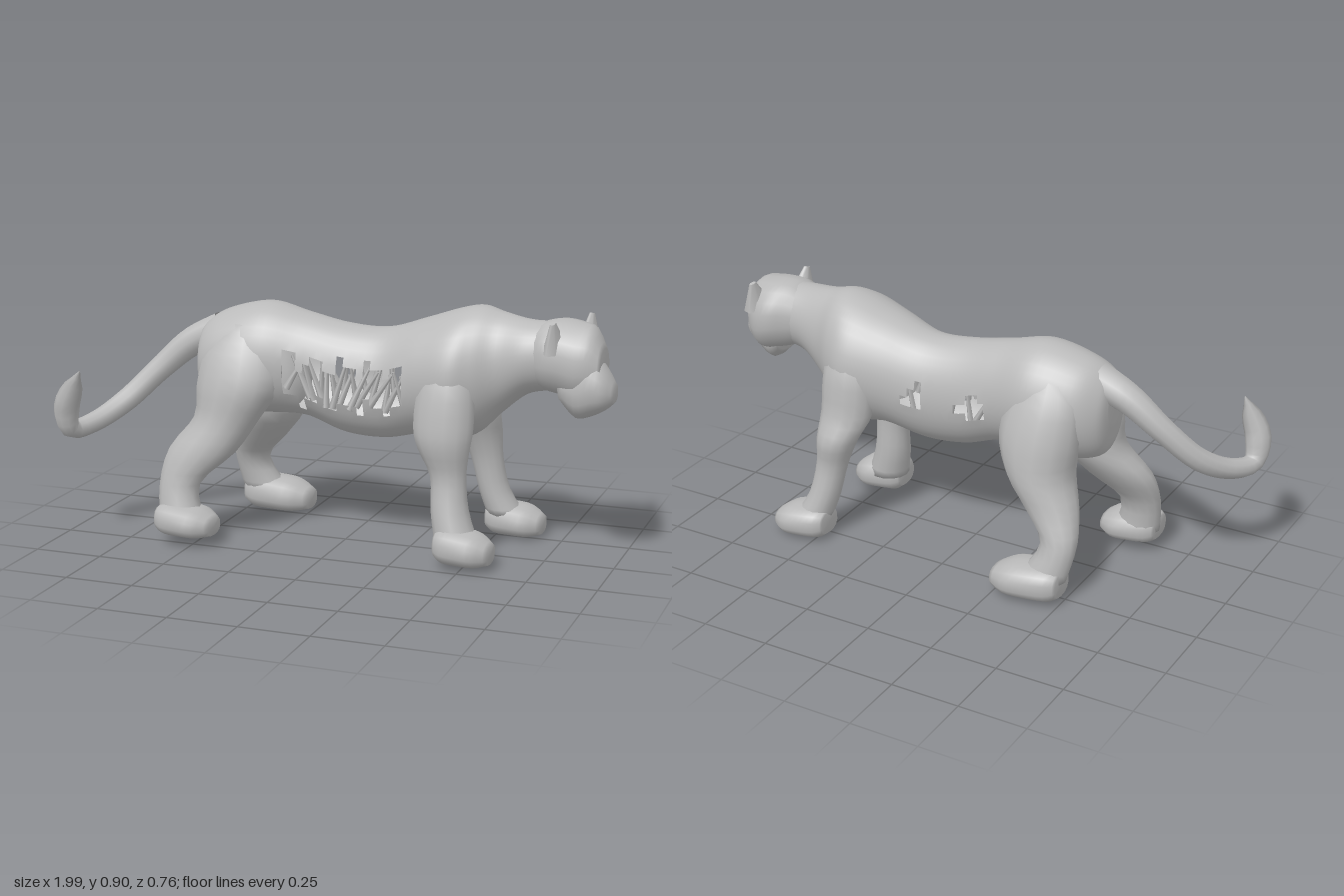
import * as THREE from 'three';

const coat = new THREE.MeshStandardMaterial({ color: 0xbababa, side: THREE.DoubleSide });
coat.name = 'grey coat';

// Smooth blend of station rows (Catmull-Rom over each column)
function blend(rows, t) {
  const n = rows.length - 1;
  const i = Math.min(Math.floor(t), n - 1);
  const f = t - i;
  const [a, b, c, d] = [i - 1, i, i + 1, i + 2].map(k => rows[Math.max(0, Math.min(n, k))]);
  return b.map((v, k) => v + 0.5 * f * (c[k] - a[k]
    + f * (2 * a[k] - 5 * v + 4 * c[k] - d[k] + f * (3 * (v - c[k]) + d[k] - a[k]))));
}

// Skin over oval sections. Rows are [x, y, z, radius1, radius2].
// axis 'x': sections stand in the y-z plane; axis 'y': sections lie in x-z, listed downwards.
function loft(name, rows, { axis = 'x', sides = 14, steps = 3, power = 1, hole = null } = {}) {
  const pos = [], index = [];
  const count = (rows.length - 1) * steps;
  const bend = v => Math.sign(v) * Math.abs(v) ** power;
  for (let i = 0; i <= count; i++) {
    const [x, y, z, r1, r2] = blend(rows, i / steps);
    for (let j = 0; j < sides; j++) {
      const a = (j / sides) * Math.PI * 2;
      const u = r1 * bend(Math.cos(a)), v = r2 * bend(Math.sin(a));
      if (axis === 'x') pos.push(x, y + u, z + v);
      else pos.push(x + u, y, z + v);
    }
  }
  for (let i = 0; i < count; i++) {
    for (let j = 0; j < sides; j++) {
      const k = (j + 1) % sides;
      const a = i * sides + j, b = a + sides, c = i * sides + k, d = c + sides;
      const mid = [0, 1, 2].map(m => (pos[a * 3 + m] + pos[d * 3 + m]) / 2);
      if (hole && hole(...mid)) continue;
      index.push(a, c, b, c, d, b);
    }
  }
  // End caps
  const first = pos.length / 3;
  pos.push(...rows[0].slice(0, 3), ...rows.at(-1).slice(0, 3));
  for (let j = 0; j < sides; j++) {
    const k = (j + 1) % sides, e = count * sides;
    index.push(first, k, j, first + 1, e + j, e + k);
  }
  const geo = new THREE.BufferGeometry();
  geo.setAttribute('position', new THREE.Float32BufferAttribute(pos, 3));
  geo.setIndex(index);
  geo.computeVertexNormals();
  return part(name, geo);
}

function part(name, geo) {
  const mesh = new THREE.Mesh(geo, coat);
  mesh.name = name;
  return mesh;
}

// Blocky paw from heel to blunt toe, with a raised instep
function paw(name, x0, x1, bottom, top, z, half) {
  const h = (top - bottom) / 2, y = bottom + h, l = x1 - x0;
  return loft(name, [
    [x0, y + h * 0.2, z, h * 0.8, half * 0.55],
    [x0 + l * 0.15, y + h * 0.15, z, h * 1.1, half * 0.8],
    [x0 + l * 0.45, y + h * 0.1, z, h * 1.1, half * 0.97],
    [x0 + l * 0.75, y, z, h, half * 0.97],
    [x1, y - h * 0.2, z, h * 0.6, half * 0.55],
  ], { power: 0.8 });
}

// Ragged openings in the flanks
function flankHole(x, y, z) {
  const rag = 0.025 * Math.sin(x * 61) + 0.015 * Math.sin(x * 113 + 1);
  if (z > 0) return x > -0.2 && x < 0.26 && y > 0.525 - 0.12 * Math.min(0, x) + rag && y < 0.68 - 0.1 * x + rag;
  return y > 0.57 && y < 0.65 + rag && ((x > -0.12 && x < 0) || (x > 0.13 && x < 0.2));
}

export function createModel() {
  const cat = new THREE.Group();
  cat.name = 'bigCat';

  // Trunk and neck
  cat.add(loft('body', [
    [-0.55, 0.67, 0, 0.07, 0.05], [-0.53, 0.64, 0, 0.15, 0.11], [-0.45, 0.65, -0.02, 0.19, 0.155],
    [-0.3, 0.666, -0.03, 0.206, 0.175], [-0.15, 0.65, -0.03, 0.19, 0.145], [0, 0.61, -0.03, 0.2, 0.14],
    [0.15, 0.602, -0.04, 0.202, 0.145], [0.3, 0.64, -0.04, 0.21, 0.18], [0.42, 0.655, -0.04, 0.235, 0.205],
    [0.5, 0.678, -0.04, 0.226, 0.175], [0.58, 0.708, -0.03, 0.178, 0.13], [0.68, 0.74, -0.01, 0.13, 0.115],
    [0.78, 0.75, -0.01, 0.12, 0.1],
  ], { sides: 36, steps: 6, hole: flankHole }));

  // Head, turned a little to its left, sloping straight into a short muzzle
  cat.add(loft('head', [
    [0.7, 0.75, -0.01, 0.1, 0.1], [0.745, 0.752, -0.01, 0.122, 0.122], [0.8, 0.748, -0.02, 0.132, 0.138],
    [0.86, 0.735, -0.015, 0.137, 0.135], [0.91, 0.735, 0, 0.122, 0.11], [0.947, 0.715, 0.018, 0.078, 0.075],
  ], { sides: 18, power: 0.9 }));
  cat.add(loft('muzzle', [
    [0.8, 0.665, -0.005, 0.07, 0.09], [0.86, 0.645, 0.015, 0.102, 0.092], [0.92, 0.663, 0.033, 0.103, 0.085],
    [0.963, 0.655, 0.04, 0.07, 0.07], [0.993, 0.642, 0.036, 0.03, 0.038],
  ], { sides: 16, power: 0.9 }));
  for (const [name, x, z, lean] of [['leftEar', 0.785, 0.09, 0.3], ['rightEar', 0.865, -0.12, -0.25]]) {
    const ear = part(name, new THREE.CylinderGeometry(0.014, 0.058, 0.1, 7));
    ear.position.set(x, 0.835, z);
    ear.rotation.set(lean, -0.3, 0);
    ear.scale.x = 0.6;
    cat.add(ear);
  }

  // Legs, listed from inside the shoulder or hip down to the ankle
  const legs = {
    leftForeleg: [[0.42, 0.78, 0.07, 0.05, 0.04], [0.41, 0.64, 0.1, 0.1, 0.07], [0.405, 0.5, 0.115, 0.11, 0.08],
      [0.41, 0.42, 0.125, 0.095, 0.07], [0.427, 0.32, 0.12, 0.066, 0.055], [0.437, 0.2, 0.13, 0.068, 0.066],
      [0.467, 0.09, 0.145, 0.078, 0.075]],
    rightForeleg: [[0.42, 0.8, -0.13, 0.05, 0.04], [0.42, 0.66, -0.175, 0.1, 0.075], [0.425, 0.5, -0.195, 0.1, 0.077],
      [0.445, 0.4, -0.235, 0.077, 0.076], [0.465, 0.3, -0.243, 0.06, 0.055], [0.49, 0.18, -0.258, 0.058, 0.06],
      [0.53, 0.09, -0.272, 0.07, 0.07]],
    leftHindLeg: [[-0.36, 0.8, 0.05, 0.06, 0.05], [-0.37, 0.7, 0.075, 0.14, 0.085], [-0.38, 0.58, 0.09, 0.16, 0.11],
      [-0.42, 0.46, 0.1, 0.125, 0.112], [-0.5, 0.34, 0.15, 0.13, 0.09], [-0.57, 0.22, 0.2, 0.077, 0.057],
      [-0.555, 0.09, 0.22, 0.085, 0.068]],
    rightHindLeg: [[-0.36, 0.8, -0.1, 0.06, 0.05], [-0.35, 0.7, -0.125, 0.13, 0.09], [-0.335, 0.57, -0.14, 0.15, 0.12],
      [-0.345, 0.44, -0.155, 0.125, 0.125], [-0.41, 0.33, -0.195, 0.1, 0.088], [-0.468, 0.22, -0.245, 0.066, 0.06],
      [-0.42, 0.09, -0.272, 0.09, 0.068]],
  };
  for (const [name, rows] of Object.entries(legs)) cat.add(loft(name, rows, { axis: 'y' }));
  cat.add(
    paw('leftForepaw', 0.4, 0.6, 0.018, 0.13, 0.165, 0.095),
    paw('rightForepaw', 0.46, 0.67, 0.008, 0.115, -0.285, 0.095),
    paw('leftHindPaw', -0.635, -0.42, 0.037, 0.14, 0.237, 0.1),
    paw('rightHindPaw', -0.5, -0.24, 0.014, 0.13, -0.28, 0.097),
  );

  // Tail: a tube whose thickness follows a list of radii, ending in an upturned tuft
  const path = new THREE.CatmullRomCurve3([
    [-0.48, 0.76, -0.01], [-0.6, 0.705, 0], [-0.72, 0.6, 0.03], [-0.83, 0.485, 0.1], [-0.91, 0.42, 0.21],
    [-0.953, 0.415, 0.305], [-0.953, 0.5, 0.333], [-0.92, 0.58, 0.34], [-0.89, 0.64, 0.343],
  ].map(p => new THREE.Vector3(...p)));
  const radii = [[0.065], [0.055], [0.045], [0.042], [0.037], [0.036], [0.047], [0.036], [0.002]];
  const rings = 32, around = 10;
  const tail = new THREE.TubeGeometry(path, rings, 1, around);
  const p = tail.attributes.position, v = new THREE.Vector3();
  for (let i = 0; i < p.count; i++) {
    const u = Math.floor(i / (around + 1)) / rings;
    const centre = path.getPointAt(u);
    const r = blend(radii, path.getUtoTmapping(u) * (radii.length - 1))[0];
    v.fromBufferAttribute(p, i).sub(centre).multiplyScalar(r).add(centre);
    p.setXYZ(i, v.x, v.y, v.z);
  }
  cat.add(part('tail', tail));

  // Slanted, splintered ribs seen through the openings
  const ribs = new THREE.Group();
  ribs.name = 'ribs';
  let seed = 7;
  const rand = () => (seed = (seed * 16807) % 2147483647) / 2147483647;
  for (let i = 0; i < 18; i++) {
    const rib = part('rib', new THREE.CylinderGeometry(0.005, 0.014, 0.11 + rand() * 0.08, 4));
    rib.position.set(-0.17 + i * 0.025, 0.625 - i * 0.003, 0.055 + rand() * 0.025);
    rib.rotation.set((rand() - 0.5) * 0.4, 0, (rand() - 0.5) * 1.8);
    ribs.add(rib);
  }
  for (let i = 0; i < 6; i++) {
    const rib = part('farRib', new THREE.CylinderGeometry(0.006, 0.012, 0.16, 4));
    rib.position.set(-0.11 + i * 0.06, 0.61, -0.14);
    rib.rotation.z = (rand() - 0.5) * 1.2;
    ribs.add(rib);
  }
  cat.add(ribs);
  return cat;
}
